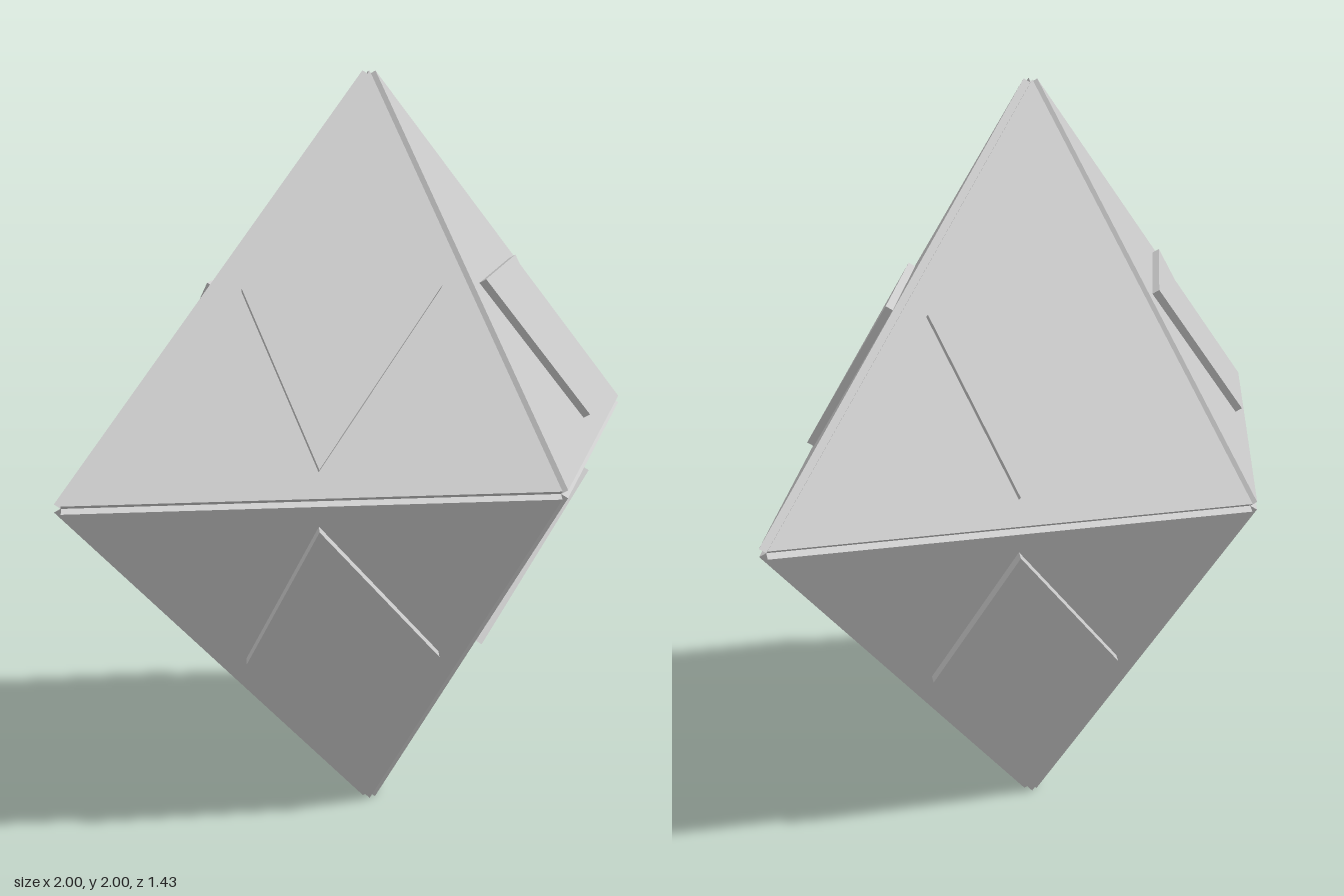
import * as THREE from 'three';

const R = 0.99;            // half-length of the core along x and y
const DEPTH = R * 0.7071;  // half-depth of the core along z
const T = 0.02;            // thickness of each raised layer
const INSET = 0.825;       // shrink of the small triangles

// Closed triangular prism: corners counter-clockwise from outside, raised along their normal
function prism(corners, thickness) {
  const [a, b, c] = corners;
  const n = b.clone().sub(a).cross(c.clone().sub(a)).setLength(thickness);
  const top = corners.map((p) => p.clone().add(n));
  const pts = [...top, a, c, b];
  for (let i = 0; i < 3; i++) {
    const j = (i + 1) % 3;
    pts.push(corners[i], corners[j], top[j], corners[i], top[j], top[i]);
  }
  const geometry = new THREE.BufferGeometry().setFromPoints(pts);
  geometry.computeVertexNormals();
  return { geometry, top };
}

export function createModel() {
  const model = new THREE.Group();
  const material = new THREE.MeshStandardMaterial({ color: 0xcccccc, flatShading: true });
  const add = (geometry, name) => {
    const mesh = new THREE.Mesh(geometry, material);
    mesh.name = name;
    model.add(mesh);
  };

  // Core octahedron, seen only at the bottom of the edge grooves
  const core = new THREE.OctahedronGeometry(1);
  core.scale(R, R, DEPTH);
  add(core, 'core');

  // One plate and one inverted raised triangle on each of the eight faces
  for (const sx of [1, -1]) for (const sy of [1, -1]) for (const sz of [1, -1]) {
    const corners = [
      new THREE.Vector3(sx * R, 0, 0),
      new THREE.Vector3(0, sy * R, 0),
      new THREE.Vector3(0, 0, sz * DEPTH),
    ];
    if (sx * sy * sz < 0) corners.reverse();
    const plate = prism(corners, T);
    add(plate.geometry, 'facePlate');

    // Triangle through the edge midpoints, pulled in toward the face centre
    const [a, b, c] = plate.top;
    const centre = a.clone().add(b).add(c).divideScalar(3);
    const inner = [[a, b], [b, c], [c, a]].map(([p, q]) =>
      p.clone().lerp(q, 0.5).lerp(centre, 1 - INSET));
    add(prism(inner, T).geometry, 'raisedTriangle');
  }

  model.children.forEach((mesh) => { mesh.position.y = 1; });
  return model;
}
